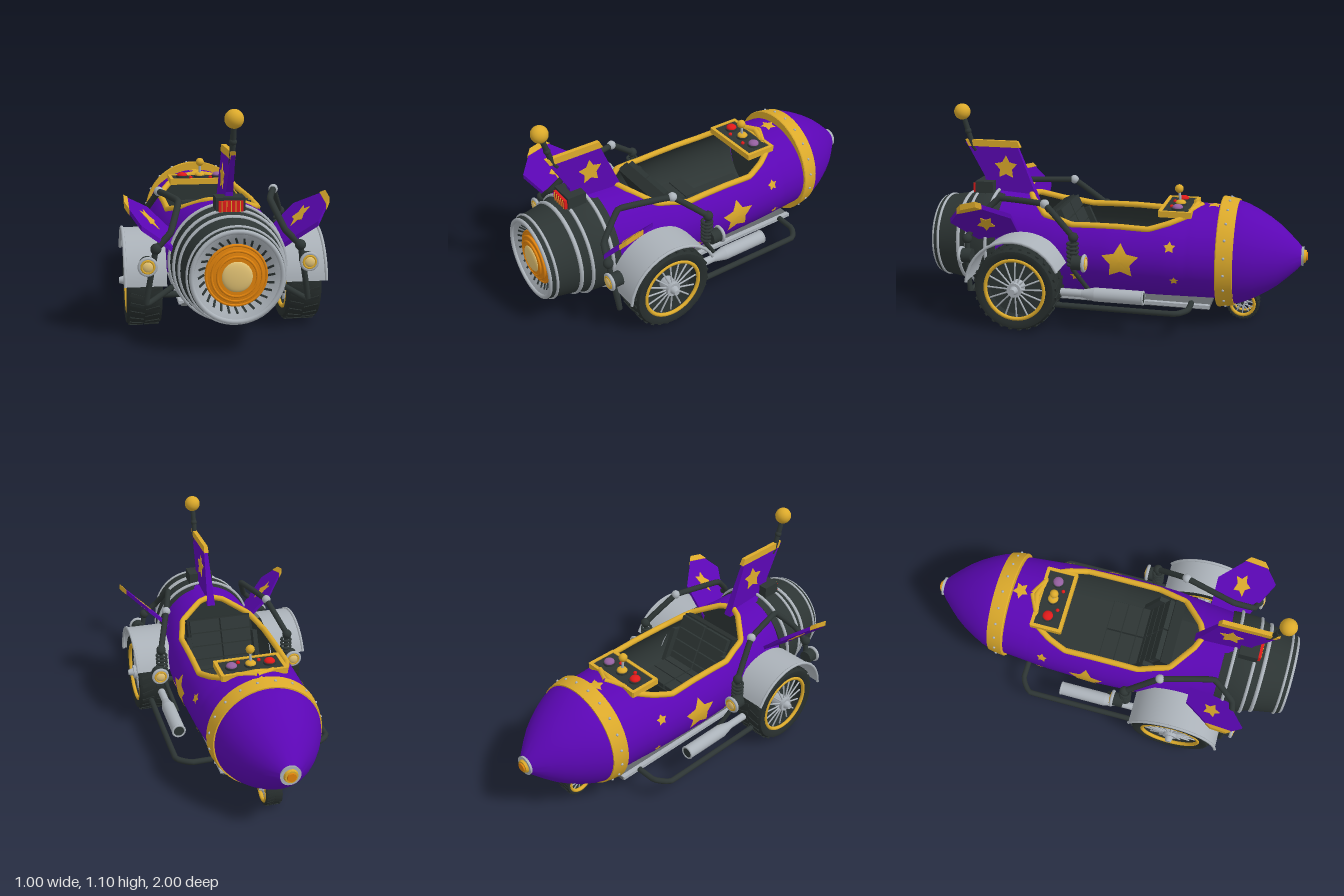
import * as THREE from 'three';
import { toCreasedNormals } from 'three/addons/utils/BufferGeometryUtils.js';

const mat = (name, color) => new THREE.MeshStandardMaterial({ name, color, side: THREE.DoubleSide });
const V = (p) => new THREE.Vector3(...p);

export function createModel() {
  const purple = mat('purple paint', 0x5b06b4), gold = mat('gold', 0xdcaa2b), dark = mat('dark metal', 0x2d3534),
    tyreMat = mat('rubber', 0x272e2d), grey = mat('silver', 0xabb2b9), orange = mat('orange', 0xe0820c),
    cream = mat('cream', 0xe3c374), red = mat('red', 0xe01a1a), mauve = mat('mauve', 0x94609f), under = mat('floor grey', 0x62676a);
  const model = new THREE.Group();
  const CY = 0.36;

  const add = (parent, name, geo, m, pos = [0, 0, 0], rot = [0, 0, 0]) => {
    const mesh = new THREE.Mesh(geo, m);
    mesh.name = name;
    mesh.position.set(...pos);
    mesh.rotation.set(...rot);
    parent.add(mesh);
    return mesh;
  };
  const box = (p, n, size, m, pos, rot) => add(p, n, new THREE.BoxGeometry(...size), m, pos, rot);
  const ball = (p, n, r, m, pos) => add(p, n, new THREE.SphereGeometry(r, 20, 14), m, pos);
  const cylZ = (p, n, r0, r1, len, m, pos) => add(p, n, new THREE.CylinderGeometry(r0, r1, len, 24).rotateX(Math.PI / 2), m, pos);
  const ring = (p, n, r, t, m, pos, rot) => add(p, n, new THREE.TorusGeometry(r, t, 10, 56), m, pos, rot);
  const tube = (p, n, pts, r, m, closed = false) => add(p, n, new THREE.TubeGeometry(
    new THREE.CatmullRomCurve3(pts.map(V), closed, 'catmullrom', 0.1), pts.length * 8, r, 10, closed), m);
  // profile of [z, radius] turned about the long axis
  const turned = (p, n, prof, m, y = CY) => add(p, n, toCreasedNormals(new THREE.LatheGeometry(
    prof.map(([z, r]) => new THREE.Vector2(r, z)), 56).rotateX(Math.PI / 2), 0.6), m, [0, y, 0]);
  const slab = (pts, t) => new THREE.ExtrudeGeometry(new THREE.Shape(pts.map(([x, y]) => new THREE.Vector2(x, y))),
    { depth: t, bevelEnabled: false }).translate(0, 0, -t / 2);
  const starPts = (cx, cy, r) => Array.from({ length: 10 }, (_, i) => {
    const a = i * Math.PI / 5, q = i % 2 ? r * 0.54 : r;
    return [cx + Math.sin(a) * q, cy + Math.cos(a) * q];
  });
  const lerpTable = (t, z, k) => {
    let i = 0;
    while (i < t.length - 2 && z > t[i + 1][0]) i++;
    const f = THREE.MathUtils.clamp((z - t[i][0]) / (t[i + 1][0] - t[i][0]), 0, 1);
    return t[i][k] + (t[i + 1][k] - t[i][k]) * f;
  };

  // Hull: ellipse sections [z, rx, ry] with a cockpit opening [z, half width]
  const sections = [[-0.57, 0.277, 0.246], [-0.3, 0.303, 0.247], [0, 0.313, 0.25], [0.3, 0.3, 0.252], [0.5, 0.272, 0.258], [0.66, 0.25, 0.268]];
  const opening = [[-0.42, 0], [-0.38, 0.15], [-0.3, 0.2], [-0.2, 0.235], [0.2, 0.235], [0.36, 0.19], [0.46, 0.07], [0.49, 0]];
  const openAngle = (z) => Math.asin(lerpTable(opening, z, 1) / lerpTable(sections, z, 1));
  const hullPoint = (z, a, off = 0) => [(lerpTable(sections, z, 1) + off) * Math.sin(a), CY + (lerpTable(sections, z, 2) + off) * Math.cos(a), z];
  const grid = (rows, cols, fn) => {
    const pos = [], idx = [];
    for (let i = 0; i <= rows; i++) for (let j = 0; j <= cols; j++) {
      pos.push(...fn(i / rows, j / cols));
      if (i < rows && j < cols) {
        const a = i * (cols + 1) + j, b = a + cols + 1;
        idx.push(a, b, a + 1, b, b + 1, a + 1);
      }
    }
    const g = new THREE.BufferGeometry();
    g.setAttribute('position', new THREE.Float32BufferAttribute(pos, 3));
    g.setIndex(idx);
    g.computeVertexNormals();
    return g;
  };
  const shell = (z0, z1, off) => grid(62, 56, (u, v) => {
    const z = z0 + (z1 - z0) * u, a = openAngle(z);
    return hullPoint(z, a + (2 * Math.PI - 2 * a) * v, off);
  });
  add(model, 'hull', shell(-0.57, 0.66, 0), purple);
  add(model, 'cockpitLining', shell(-0.46, 0.5, -0.012), dark);
  for (const z of [-0.455, 0.495]) add(model, 'bulkhead', new THREE.CircleGeometry(0.235, 40).scale(1.12, 1, 1), dark, [0, CY, z]);
  box(model, 'cockpitFloor', [0.42, 0.01, 0.9], dark, [0, 0.2, 0.02]);
  box(model, 'underTray', [0.4, 0.018, 1.04], under, [0, 0.107, 0]);
  for (const s of [-1, 1]) box(model, 'trayEdge', [0.025, 0.018, 1.04], grey, [s * 0.2, 0.115, 0]);
  const rimZ = [-0.42, -0.38, -0.3, -0.2, -0.05, 0.1, 0.2, 0.28, 0.36, 0.46, 0.49];
  const rim = [...rimZ.map((z) => hullPoint(z, openAngle(z))), ...rimZ.slice(1, -1).reverse().map((z) => hullPoint(z, -openAngle(z)))];
  tube(model, 'cockpitRim', rim, 0.016, gold, true);

  // Nose cone, band and tip
  turned(model, 'noseCone', [[-0.975, 0.04], [-0.95, 0.07], [-0.9, 0.118], [-0.85, 0.162], [-0.8, 0.197], [-0.74, 0.232], [-0.68, 0.26], [-0.62, 0.278], [-0.56, 0.28]], purple);
  turned(model, 'noseBand', [[-0.638, 0.26], [-0.638, 0.28], [-0.6, 0.288], [-0.555, 0.293], [-0.55, 0.29], [-0.55, 0.24]], gold);
  for (let i = 0; i < 20; i++) {
    const a = (i + 0.5) * Math.PI / 10;
    ball(model, 'bandRivet', 0.007, grey, [Math.sin(a) * 0.289, CY + Math.cos(a) * 0.289, -0.593]);
  }
  cylZ(model, 'noseCollar', 0.047, 0.052, 0.024, grey, [0, CY, -0.968]);
  cylZ(model, 'noseCap', 0.037, 0.032, 0.015, gold, [0, CY, -0.985]);
  cylZ(model, 'noseButton', 0.024, 0.022, 0.012, orange, [0, CY, -0.994]);

  // Jet nozzle with silver rings, turbine and glowing core
  turned(model, 'nozzle', [[0.62, 0.2], [0.62, 0.265], [0.7, 0.27], [0.77, 0.264], [0.8, 0.252], [0.83, 0.242], [0.95, 0.222], [0.984, 0.216], [0.985, 0.2]], dark);
  for (const [z, r, t] of [[0.67, 0.272, 0.009], [0.78, 0.261, 0.009], [0.835, 0.24, 0.011], [0.958, 0.222, 0.007], [0.987, 0.205, 0.011]])
    ring(model, 'nozzleRing', r, t, grey, [0, CY, z]);
  turned(model, 'turbineFunnel', [[0.94, 0.135], [0.985, 0.196], [0.987, 0.205]], grey);
  const fan = new THREE.Group();
  fan.name = 'turbineSlots';
  fan.position.y = CY;
  model.add(fan);
  for (let i = 0; i < 28; i++) {
    const blade = new THREE.Group();
    blade.rotation.z = i * Math.PI / 14;
    box(blade, 'slot', [0.01, 0.036, 0.008], dark, [0, 0.16, 0.959], [0.63, 0, 0.3]);
    fan.add(blade);
  }
  turned(model, 'burnerCone', [[0.94, 0.142], [0.96, 0.14], [0.965, 0.118], [0.975, 0.115], [0.978, 0.09], [0.985, 0.086], [0.985, 0.02]], orange);
  for (const [r, z] of [[0.137, 0.96], [0.114, 0.973], [0.09, 0.983]]) ring(model, 'burnerRing', r, 0.006, orange, [0, CY, z]);
  add(model, 'burnerCore', new THREE.SphereGeometry(0.07, 32, 16).scale(1, 1, 0.22), cream, [0, CY, 0.984]);

  // Stars wrapped on the hull: centre z, angle, radius
  const hullStar = (zc, ac, r) => add(model, 'hullStar', grid(4, 40, (u, v) => {
    const t = v * 10, i = Math.floor(t) % 10, pts = starPts(0, 0, r * u), p = pts[i], q = pts[(i + 1) % 10], f = t - Math.floor(t);
    return hullPoint(zc + p[0] + (q[0] - p[0]) * f, ac - (p[1] + (q[1] - p[1]) * f) / 0.26 * Math.sign(ac || 1), 0.004);
  }), gold);
  for (const s of [-1, 1])
    for (const [z, a, r] of [[-0.07, 1.57, 0.1], [-0.32, 1.22, 0.032], [-0.345, 1.94, 0.024], [0.17, 1.98, 0.032]]) hullStar(z, s * a, r);
  hullStar(-0.51, 0, 0.044);

  // Dashboard with knobs and gear lever
  box(model, 'dashboard', [0.33, 0.03, 0.15], dark, [0, 0.583, -0.325]);
  for (const s of [-1, 1]) {
    box(model, 'dashTrim', [0.018, 0.032, 0.166], gold, [s * 0.165, 0.587, -0.325]);
    box(model, 'dashTrim', [0.34, 0.032, 0.018], gold, [0, 0.587, -0.325 + s * 0.077]);
    tube(model, 'dashBrace', [[s * 0.1, 0.595, -0.395], [0, 0.605, -0.445]], 0.013, gold);
    ball(model, 'smallKnob', 0.01, red, [s * 0.055, 0.602, -0.29]);
  }
  [[-0.1, red], [0.1, mauve], [0, gold]].forEach(([x, m]) => {
    add(model, 'dialRing', new THREE.CylinderGeometry(0.033, 0.033, 0.012, 20), dark, [x, 0.602, -0.33]);
    add(model, 'dial', new THREE.SphereGeometry(0.028, 18, 12).scale(1, 0.6, 1), m, [x, 0.61, -0.33]);
  });
  tube(model, 'gearLever', [[0, 0.6, -0.33], [0, 0.68, -0.32]], 0.007, grey);
  ball(model, 'gearKnob', 0.023, gold, [0, 0.685, -0.32]);

  // Quilted seat
  const seat = new THREE.Group();
  seat.name = 'seat';
  model.add(seat);
  box(seat, 'seatBase', [0.36, 0.12, 0.26], tyreMat, [0, 0.265, 0.09]);
  const back = new THREE.Group();
  back.name = 'seatBackrest';
  back.position.set(0, 0.31, 0.18);
  back.rotation.x = 0.42;
  seat.add(back);
  box(back, 'seatBack', [0.36, 0.31, 0.06], tyreMat, [0, 0.14, 0.035]);
  for (const s of [-1, 1]) {
    for (let i = 0; i < 4; i++) box(back, 'backPad', [0.165, 0.066, 0.045], dark, [s * 0.087, 0.035 + i * 0.073, 0]);
    for (let i = 0; i < 3; i++) box(seat, 'seatPad', [0.165, 0.04, 0.078], dark, [s * 0.087, 0.33, 0.005 + i * 0.084]);
    box(back, 'seatWing', [0.025, 0.2, 0.09], dark, [s * 0.188, 0.1, -0.005]);
  }

  // Tail fin tapering upward, antenna and tail lamp
  const tail = (n, pts, t, m) => {
    const geo = slab(pts.map(([z, y]) => [-z, y]), t).rotateY(Math.PI / 2), p = geo.attributes.position;
    for (let i = 0; i < p.count; i++) p.setX(i, p.getX(i) * (1.4 - 2.6 * (p.getY(i) - 0.6)));
    add(model, n, geo, m);
  };
  tail('tailFin', [[0.86, 0.885], [0.57, 0.885], [0.45, 0.58], [0.74, 0.58], [0.75, 0.7], [0.84, 0.86]], 0.03, purple);
  tail('tailFinCap', [[0.86, 0.9], [0.565, 0.9], [0.548, 0.865], [0.842, 0.865]], 0.036, gold);
  tail('tailFinStar', starPts(0.63, 0.755, 0.066), 0.035, gold);
  tube(model, 'antennaRod', [[0, 0.84, 0.8], [0, 0.87, 0.822], [0, 1.03, 0.87]], 0.014, dark);
  ball(model, 'antennaCollar', 0.018, dark, [0, 0.945, 0.845]);
  ball(model, 'antennaBall', 0.044, gold, [0, 1.05, 0.875]);
  box(model, 'tailLampBox', [0.135, 0.064, 0.1], dark, [0, 0.65, 0.74]);
  box(model, 'tailLamp', [0.112, 0.05, 0.02], red, [0, 0.643, 0.795]);
  for (let i = -2; i <= 2; i++) box(model, 'lampBar', [0.004, 0.05, 0.006], gold, [i * 0.021, 0.643, 0.805]);

  // Wire wheel on the x axis, tyre radius 0.22
  const wheel = (parent, name, pos, backed, rimT, spokes, spokeR) => {
    const g = new THREE.Group();
    g.name = name;
    g.position.set(...pos);
    parent.add(g);
    const prof = [[0.155, -0.07], [0.185, -0.086], [0.206, -0.083], [0.217, -0.062], [0.217, 0.062], [0.206, 0.083], [0.185, 0.086], [0.155, 0.07], [0.155, -0.07]];
    add(g, 'tyre', toCreasedNormals(new THREE.LatheGeometry(prof.map((p) => new THREE.Vector2(...p)), 48).rotateZ(-Math.PI / 2), 0.7), tyreMat);
    for (let i = 0; i < 56; i++) {
      const a = i * Math.PI / 28, s = i % 2 ? 1 : -1;
      box(g, 'tread', [0.068, 0.008, 0.016], tyreMat, [s * 0.038, Math.cos(a) * 0.217, Math.sin(a) * 0.217], [a, s * 0.3, 0]);
    }
    if (backed) add(g, 'wheelDisc', new THREE.CylinderGeometry(0.158, 0.158, 0.02, 40).rotateZ(Math.PI / 2), dark);
    for (const s of [-1, 1]) {
      ring(g, 'rim', 0.157, rimT, gold, [s * 0.072, 0, 0], [0, Math.PI / 2, 0]);
      for (let i = 0; i < spokes; i++) {
        const a = i * 2 * Math.PI / spokes;
        tube(g, 'spoke', [[s * 0.07, 0, 0], [s * 0.05, Math.cos(a) * 0.155, Math.sin(a) * 0.155]], spokeR, grey);
      }
    }
    add(g, 'hub', new THREE.CylinderGeometry(0.038, 0.038, 0.17, 20).rotateZ(Math.PI / 2), grey);
    add(g, 'hubCap', new THREE.CylinderGeometry(0.015, 0.024, 0.03, 16).rotateZ(-Math.PI / 2), grey, [0.098, 0, 0]);
    return g;
  };
  wheel(model, 'noseWheel', [0, 0.087, -0.675], false, 0.022, 10, 0.008).scale.set(0.5, 0.395, 0.395);
  for (const s of [-1, 1]) tube(model, 'noseFork', [[s * 0.05, 0.087, -0.675], [s * 0.05, 0.19, -0.66]], 0.009, dark);

  // Everything that exists once on each side
  const lamp = (g, n, z, d) => {
    cylZ(g, n + 'Body', 0.037, 0.037, 0.06, dark, [0.38, 0.362, z]);
    ring(g, n + 'Rim', 0.038, 0.009, grey, [0.38, 0.362, z + d * 0.03]);
    ring(g, n + 'Bezel', 0.029, 0.006, gold, [0.38, 0.362, z + d * 0.036]);
    add(g, n + 'Lens', new THREE.SphereGeometry(0.027, 20, 12).scale(1, 1, 0.5), cream, [0.38, 0.362, z + d * 0.034]);
  };
  for (const s of [1, -1]) {
    const g = new THREE.Group();
    g.name = s > 0 ? 'leftSide' : 'rightSide';
    g.scale.x = s;
    model.add(g);
    wheel(g, 'roadWheel', [0.386, 0.22, 0.447], true, 0.01, 16, 0.0045);
    const fenderPoint = (x, u) => [x, 0.225 + Math.sin(0.1 + u * 2.6) * 0.255, 0.447 + Math.cos(0.1 + u * 2.6) * 0.255];
    add(g, 'fender', grid(28, 1, (u, v) => fenderPoint(0.285 + v * 0.195, u)), grey);
    tube(g, 'fenderLip', Array.from({ length: 15 }, (_, i) => fenderPoint(0.48, i / 14)), 0.008, grey);
    // swept side fin, sheared up and outward and dropping toward its trailing end
    const fin = (n, pts, t, m) => {
      const geo = slab(pts, t).rotateX(Math.PI / 2), p = geo.attributes.position;
      for (let i = 0; i < p.count; i++) p.setY(i, p.getY(i) + 0.18 + p.getX(i) - 0.25 * (p.getZ(i) - 0.65));
      geo.computeVertexNormals();
      add(g, n, geo, m);
    };
    fin('sideFin', [[0.22, 0.49], [0.36, 0.49], [0.478, 0.635], [0.478, 0.715], [0.41, 0.8], [0.22, 0.68]], 0.024, purple);
    fin('sideFinCap', [[0.46, 0.609], [0.481, 0.635], [0.481, 0.715], [0.46, 0.743]], 0.03, gold);
    fin('sideFinStar', starPts(0.36, 0.625, 0.048), 0.032, gold);
    // frame tubes, joints and suspension
    tube(g, 'upperFrame', [[0.36, 0.49, 0.16], [0.29, 0.635, 0.33], [0.22, 0.635, 0.6], [0.27, 0.51, 0.72], [0.34, 0.44, 0.74]], 0.016, dark);
    ball(g, 'frameJoint', 0.024, grey, [0.29, 0.637, 0.33]);
    ball(g, 'frameJoint', 0.026, dark, [0.34, 0.44, 0.74]);
    ball(g, 'frameJoint', 0.026, dark, [0.36, 0.49, 0.16]);
    tube(g, 'lampBracket', [[0.34, 0.44, 0.74], [0.385, 0.17, 0.715], [0.25, 0.24, 0.66]], 0.014, dark);
    tube(g, 'shockRod', [[0.36, 0.49, 0.16], [0.35, 0.32, 0.17], [0.3, 0.15, 0.06]], 0.012, dark);
    for (let i = 0; i < 6; i++) ring(g, 'shockCoil', 0.026, 0.007, dark, [0.357, 0.345 + i * 0.022, 0.165], [Math.PI / 2, 0, 0]);
    lamp(g, 'frontLamp', 0.73, 1);
    lamp(g, 'rearLamp', 0.13, -1);
    tube(g, 'axleBar', [[0.1, 0.14, 0.45], [0.33, 0.14, 0.45]], 0.016, dark);
    tube(g, 'sideRail', [[0.23, 0.14, -0.43], [0.34, 0.14, -0.43], [0.41, 0.14, -0.37], [0.41, 0.14, 0.24]], 0.015, dark);
    cylZ(g, 'exhaustMuffler', 0.036, 0.036, 0.25, grey, [0.352, 0.19, -0.075]);
    cylZ(g, 'exhaustTaper', 0.02, 0.036, 0.07, grey, [0.352, 0.19, 0.085]);
    cylZ(g, 'exhaustPipe', 0.02, 0.02, 0.18, grey, [0.352, 0.19, 0.2]);
    ring(g, 'exhaustLip', 0.032, 0.006, grey, [0.352, 0.19, -0.2]);
    add(g, 'exhaustMouth', new THREE.CircleGeometry(0.028, 20), dark, [0.352, 0.19, -0.203]);
  }
  return model;
}
